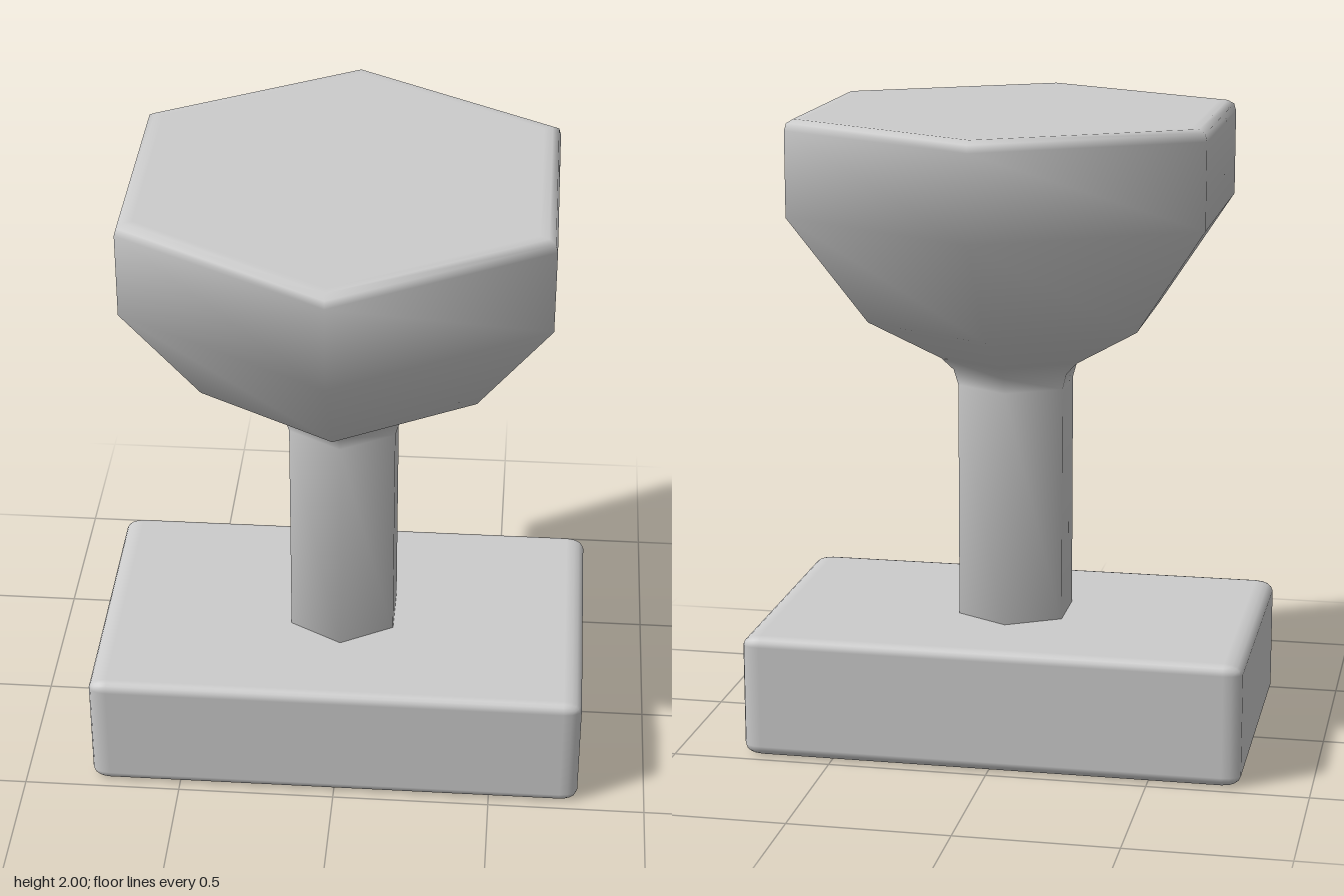
import * as THREE from 'three';
import { RoundedBoxGeometry } from 'three/addons/geometries/RoundedBoxGeometry.js';

export function createModel() {
  const model = new THREE.Group();
  model.name = 'pedestalKnob';
  const material = new THREE.MeshStandardMaterial({ color: 0xcccccc });

  // Rectangular foot; its rounding is stretched along x
  const stretch = 1.8;
  const baseGeometry = new RoundedBoxGeometry(1.57 / stretch, 0.39, 0.945, 2, 0.032);
  baseGeometry.scale(stretch, 1, 1);
  const base = new THREE.Mesh(baseGeometry, material);
  base.name = 'base';
  base.position.y = 0.195;
  model.add(base);

  // Six-sided stem flaring into a faceted head, with corners on the z axis
  const profile = [
    [0, 0.37], [0.192, 0.37], [0.192, 1.14], [0.207, 1.19], [0.248, 1.23],
    [0.485, 1.36], [0.74, 1.70], [0.74, 1.965], [0.733, 1.988],
    [0.71, 2], [0.68, 2], [0, 2],
  ].map(([r, y]) => new THREE.Vector2(r, y));
  const head = new THREE.Mesh(new THREE.LatheGeometry(profile, 6), material);
  head.name = 'stemAndHead';
  model.add(head);

  return model;
}
